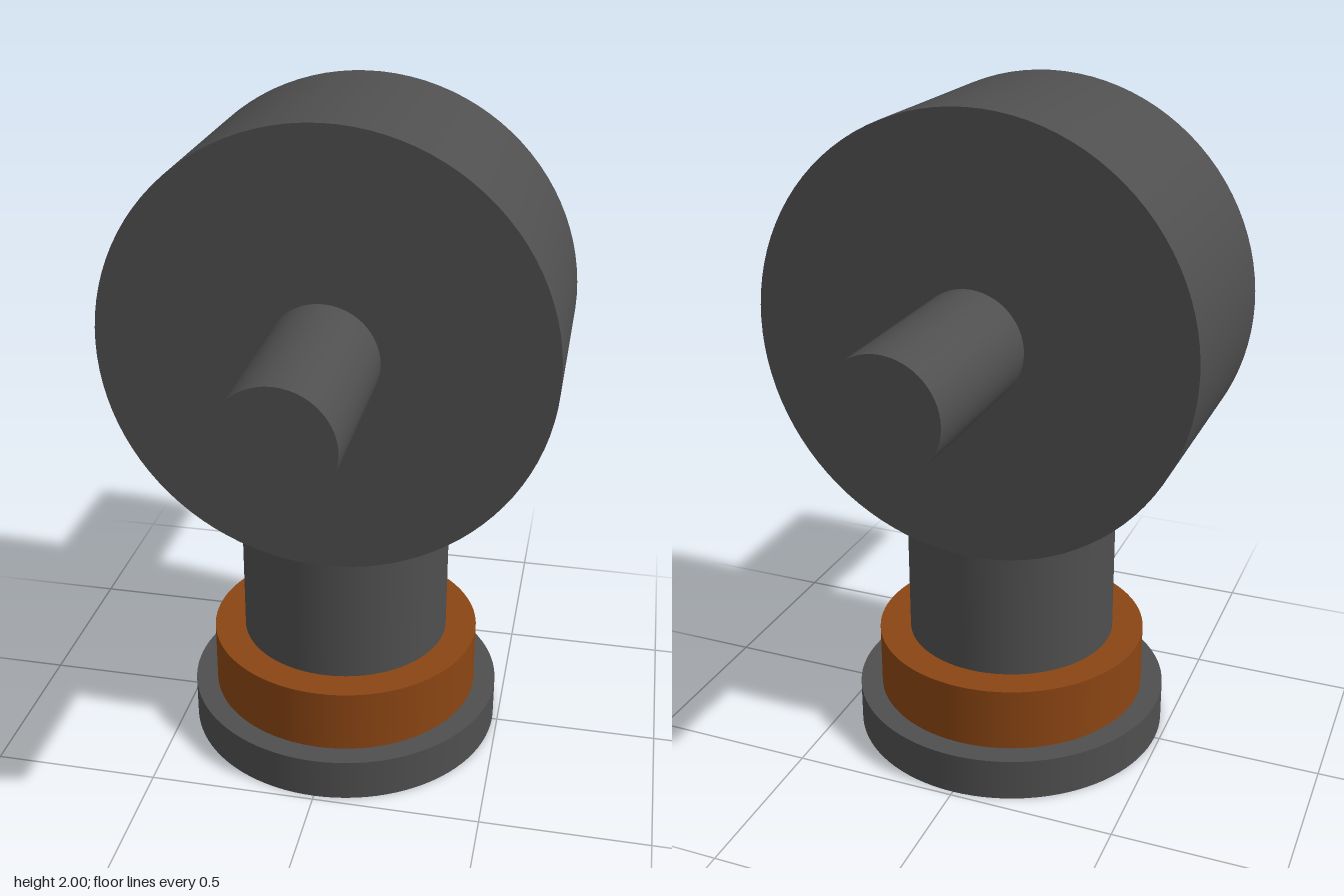
import * as THREE from 'three';

const dark = new THREE.MeshStandardMaterial({ color: 0x4f4f4f });
const brown = new THREE.MeshStandardMaterial({ color: 0x8b4513 });

function cylinder(name, radius, length, material) {
  const mesh = new THREE.Mesh(new THREE.CylinderGeometry(radius, radius, length, 96), material);
  mesh.name = name;
  return mesh;
}

export function createModel() {
  const model = new THREE.Group();
  model.name = 'drumOnPedestal';

  // Upright stack: name, radius, bottom, top, material
  const stack = [
    ['base', 0.484, 0, 0.13, dark],
    ['collar', 0.416, 0.13, 0.325, brown],
    ['post', 0.32, 0.325, 1.0, dark],
  ];
  for (const [name, radius, bottom, top, material] of stack) {
    const part = cylinder(name, radius, top - bottom, material);
    part.position.y = (bottom + top) / 2;
    model.add(part);
  }

  // Drum lying along z, with its axle running through both faces
  const head = new THREE.Group();
  head.name = 'head';
  head.position.y = 1.355;
  head.rotation.x = Math.PI / 2;
  head.add(cylinder('drum', 0.645, 0.644, dark), cylinder('axle', 0.161, 1.742, dark));
  model.add(head);

  return model;
}
